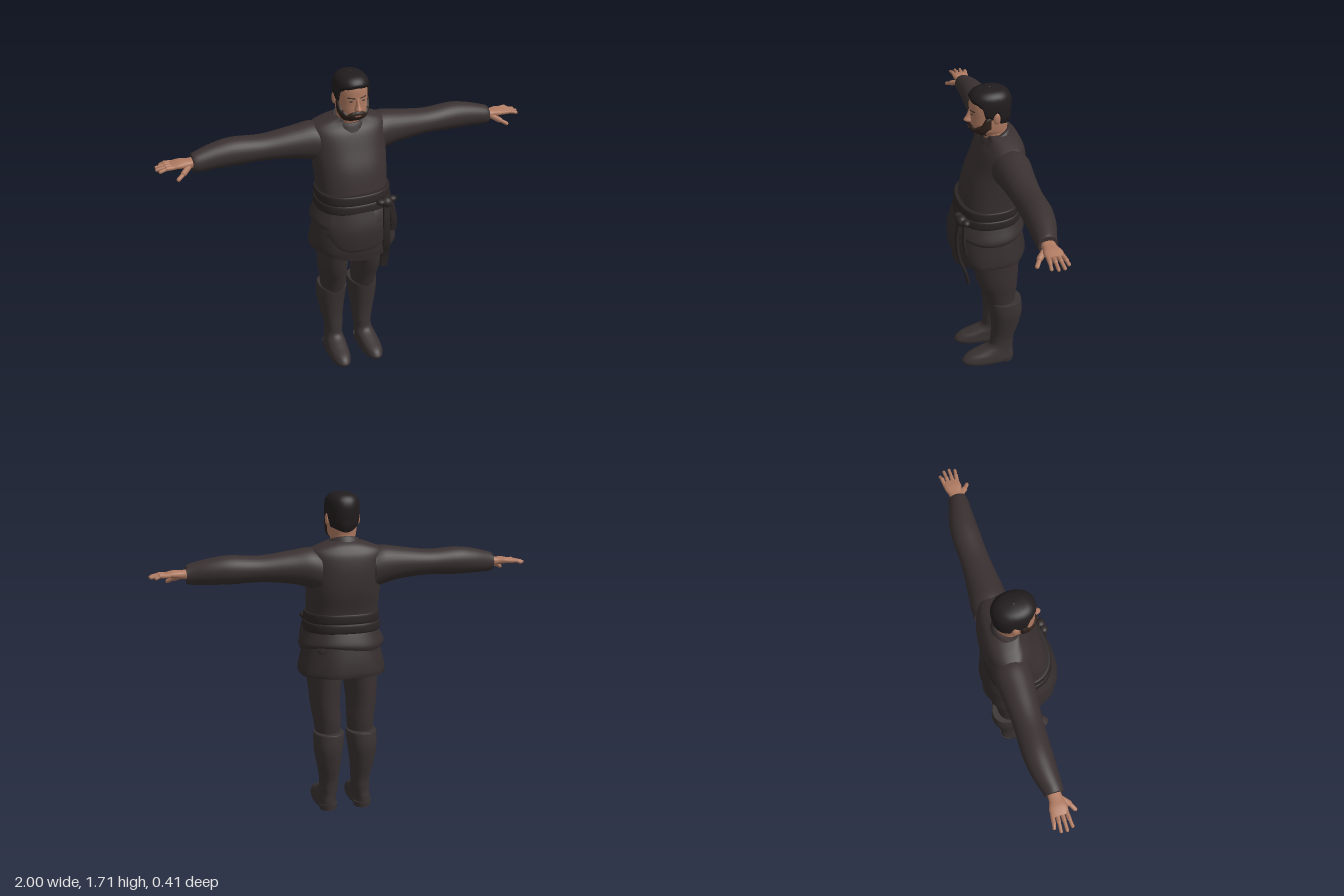
import * as THREE from 'three';

const mat = (name, color, side = THREE.FrontSide) =>
  Object.assign(new THREE.MeshStandardMaterial({ color, side }), { name });

// Catmull-Rom sample of table rows at v in 0..1
function sample(rows, v) {
  const f = Math.min(Math.max(v, 0), 1) * (rows.length - 1);
  const i = Math.min(Math.floor(f), rows.length - 2), t = f - i;
  const at = k => rows[Math.min(Math.max(k, 0), rows.length - 1)];
  return rows[0].map((_, c) => {
    const a = at(i - 1)[c], b = at(i)[c], d = at(i + 1)[c], e = at(i + 2)[c];
    return b + 0.5 * t * (d - a + t * (2 * a - 5 * b + 4 * d - e + t * (3 * (b - d) + e - a)));
  });
}

const pw = (s, n) => Math.sign(s) * Math.pow(Math.abs(s), 2 / n);

// Grid surface from fn(u, v) -> [x, y, z], optionally closed round u and capped
function surface(fn, nu, nv, closed = true, caps = false) {
  const pos = [], idx = [], w = closed ? nu : nu + 1;
  for (let j = 0; j <= nv; j++) for (let i = 0; i < w; i++) pos.push(...fn(i / nu, j / nv));
  for (let j = 0; j < nv; j++) for (let i = 0; i < nu; i++) {
    const k = (i + 1) % w, a = j * w + i, b = j * w + k;
    idx.push(a, b, b + w, a, b + w, a + w);
  }
  if (caps) for (const end of [0, 1]) {
    const base = pos.length / 3, mid = [0, 0, 0];
    for (let i = 0; i < nu; i++) {
      const p = fn(i / nu, end);
      pos.push(...p);
      p.forEach((c, k) => { mid[k] += c / nu; });
    }
    pos.push(...mid);
    for (let i = 0; i < nu; i++) {
      const a = base + i, b = base + (i + 1) % nu;
      idx.push(...(end ? [a, b, base + nu] : [b, a, base + nu]));
    }
  }
  const g = new THREE.BufferGeometry();
  g.setAttribute('position', new THREE.Float32BufferAttribute(pos, 3));
  g.setIndex(idx);
  g.computeVertexNormals();
  return g;
}

// Rows along y: [y, cx, cz, rx, rz]
function loftY(rows, { n = 2, caps = true, from = 0, to = 1, nu = 40, warp } = {}) {
  return surface((u, v) => {
    const [y, cx, cz, rx, rz] = sample(rows, v), t = (from + (to - from) * u) * Math.PI * 2;
    const p = [cx + rx * pw(Math.sin(t), n), y, cz + rz * pw(Math.cos(t), n)];
    return warp ? warp(p, t, v) : p;
  }, nu, (rows.length - 1) * 5, to - from === 1, caps);
}

// Rows along x: [x, cy, cz, ry, rz]
function loftX(rows, n = 2) {
  return surface((u, v) => {
    const [x, cy, cz, ry, rz] = sample(rows, v), t = u * Math.PI * 2;
    return [x, cy + ry * pw(Math.cos(t), n), cz + rz * pw(Math.sin(t), n)];
  }, 32, (rows.length - 1) * 5, true, true);
}

function mirrored(geo) {
  const g = geo.clone().scale(-1, 1, 1), ix = g.index.array;
  for (let i = 0; i < ix.length; i += 3) [ix[i], ix[i + 1]] = [ix[i + 1], ix[i]];
  g.computeVertexNormals();
  return g;
}

// Rounded rod between two points
function rod(a, b, r) {
  const A = new THREE.Vector3(...a), B = new THREE.Vector3(...b), d = B.clone().sub(A);
  const q = new THREE.Quaternion().setFromUnitVectors(new THREE.Vector3(0, 1, 0), d.clone().normalize());
  const m = A.add(B).multiplyScalar(0.5);
  return new THREE.CapsuleGeometry(r, d.length(), 5, 10).applyQuaternion(q).translate(m.x, m.y, m.z);
}

const blob = (x, y, z, rx, ry, rz) => new THREE.SphereGeometry(1, 18, 12).scale(rx, ry, rz).translate(x, y, z);

export function createModel() {
  const cloth = mat('dark cloth', 0x3a3131);
  const skirtCloth = mat('skirt cloth', 0x352d2d, THREE.DoubleSide);
  const leather = mat('belt leather', 0x2c2525);
  const bootLeather = mat('boot leather', 0x3a3232);
  const skin = mat('skin', 0xb07b62);
  const hairMat = mat('hair', 0x211c1d, THREE.DoubleSide);
  const beardMat = mat('beard', 0x2f221c, THREE.DoubleSide);
  const lipMat = mat('lips', 0x8d5a4b);
  const group = new THREE.Group();
  const add = (name, geo, m) => {
    const mesh = new THREE.Mesh(geo, m);
    mesh.name = name;
    group.add(mesh);
  };
  const pair = (name, geo, m) => {
    add(name + 'Left', geo, m);
    add(name + 'Right', mirrored(geo), m);
  };

  // Torso and collar
  add('tunic', loftY([
    [0.98, 0, 0, 0.185, 0.16], [1.09, 0, -0.008, 0.188, 0.153], [1.2, 0, -0.032, 0.193, 0.153],
    [1.3, 0, -0.055, 0.2, 0.135], [1.38, 0, -0.068, 0.207, 0.113], [1.42, 0, -0.073, 0.195, 0.092],
    [1.445, 0, -0.07, 0.14, 0.078], [1.463, 0, -0.058, 0.085, 0.066]], { n: 2.4, nu: 56 }), cloth);
  add('collar', loftY([
    [1.395, 0, -0.045, 0.112, 0.098], [1.425, 0, -0.045, 0.098, 0.084],
    [1.45, 0, -0.045, 0.086, 0.074], [1.462, 0, -0.045, 0.078, 0.066]],
  { warp: ([x, y, z]) => [x, y - (z + 0.045) * 0.4, z] }), cloth);

  // Sleeves and hands
  pair('sleeve', loftX([
    [0.14, 1.315, -0.075, 0.11, 0.1], [0.2, 1.332, -0.08, 0.102, 0.096], [0.3, 1.337, -0.08, 0.083, 0.085],
    [0.45, 1.335, -0.083, 0.067, 0.073], [0.6, 1.337, -0.087, 0.073, 0.072],
    [0.7, 1.332, -0.082, 0.066, 0.064], [0.79, 1.322, -0.07, 0.054, 0.051], [0.815, 1.32, -0.07, 0.046, 0.046]]), cloth);
  pair('palm', loftX([
    [0.79, 1.32, -0.07, 0.026, 0.034], [0.84, 1.322, -0.07, 0.021, 0.034],
    [0.88, 1.325, -0.072, 0.018, 0.044], [0.92, 1.322, -0.074, 0.012, 0.042]], 2.4), skin);
  [[-0.108, 0.965, -0.118], [-0.086, 0.988, -0.092], [-0.063, 0.991, -0.063], [-0.042, 0.98, -0.034]].forEach(([z, tip, tz], i) => {
    pair('fingerBase' + i, rod([0.9, 1.322, z], [0.945, 1.323, (z + tz) / 2], 0.0105), skin);
    pair('fingerTip' + i, rod([0.945, 1.323, (z + tz) / 2], [tip, 1.314, tz], 0.0085), skin);
  });
  pair('thumbBase', rod([0.835, 1.312, -0.05], [0.87, 1.295, -0.015], 0.015), skin);
  pair('thumbTip', rod([0.87, 1.295, -0.015], [0.902, 1.278, 0.006], 0.0105), skin);

  // Tiered skirt, lower hem dipping in front
  const folds = (t, v) => 1 + 0.018 * (1 - v) * Math.sin(7 * t);
  add('skirtLower', loftY([
    [0.755, 0, -0.002, 0.232, 0.192], [0.78, 0, 0, 0.233, 0.196], [0.85, 0, 0.004, 0.218, 0.19], [0.96, 0, 0.004, 0.19, 0.165]], {
    n: 2.3, caps: false, nu: 72,
    warp: ([x, y, z], t, v) => [x * folds(t, v), y - 0.04 * (1 - v) ** 3 * Math.max(0, Math.cos(t)) ** 4, z * folds(t, v)] }), skirtCloth);
  add('skirtUpper', loftY([
    [0.905, 0, 0.005, 0.222, 0.19], [0.925, 0, 0.005, 0.226, 0.194], [0.97, 0, 0.006, 0.205, 0.18], [1.01, 0, 0.004, 0.185, 0.162]], {
    n: 2.3, caps: false, from: 0.04, to: 0.9, nu: 72,
    warp: ([x, y, z], t, v) => [x, y + 0.012 * (1 - v) * Math.sin(3 * t), z] }), skirtCloth);
  add('frontPanel', loftY([
    [0.78, 0, 0.006, 0.222, 0.192], [0.8, 0, 0.006, 0.23, 0.202], [0.9, 0, 0.006, 0.222, 0.2], [1.01, 0, 0.004, 0.186, 0.165]], {
    n: 2.3, caps: false, from: -0.15, to: 0.08, nu: 30,
    warp: ([x, y, z], t, v) => [x, y + (1 - v) * 0.11 * Math.min(1, Math.abs((t + 0.1) / 0.75)) ** 3, z] }), skirtCloth);

  // Belt of two bands with knot and hanging straps
  for (const [i, y, r] of [[0, 1.062, 0.004], [1, 1.012, 0.008]]) {
    add('beltBand' + i, loftY([
      [y - 0.026, 0, 0.002, 0.188, 0.158], [y - 0.02, 0, 0.002, 0.194 + r, 0.164 + r],
      [y + 0.02, 0, 0, 0.194 + r, 0.162 + r], [y + 0.026, 0, 0, 0.188, 0.156]], { n: 2.4, nu: 56 }), leather);
  }
  add('beltKnot', blob(0.13, 1.03, 0.168, 0.032, 0.03, 0.03), leather);
  add('beltKnotLoopLeft', blob(0.168, 1.035, 0.152, 0.025, 0.018, 0.022), leather);
  add('beltKnotLoopRight', blob(0.095, 1.04, 0.176, 0.025, 0.016, 0.022), leather);
  add('longStrap', loftY([
    [0.62, 0.13, 0.138, 0.02, 0.007], [0.7, 0.132, 0.152, 0.024, 0.008], [0.8, 0.128, 0.184, 0.021, 0.009],
    [0.92, 0.122, 0.192, 0.019, 0.009], [1.02, 0.126, 0.178, 0.018, 0.01]], { n: 4 }), leather);
  add('shortStrap', loftY([
    [0.85, 0.176, 0.158, 0.016, 0.008], [0.93, 0.172, 0.166, 0.018, 0.008], [1.03, 0.155, 0.157, 0.016, 0.01]], { n: 4 }), leather);

  // Legs and boots
  pair('trouserLeg', loftY([
    [0.9, 0.1, -0.02, 0.09, 0.14], [0.75, 0.098, -0.022, 0.09, 0.13], [0.6, 0.1, -0.033, 0.08, 0.113],
    [0.5, 0.092, -0.05, 0.073, 0.092], [0.41, 0.09, -0.06, 0.066, 0.07]].reverse()), cloth);
  pair('boot', loftY([
    [0.012, 0.098, 0.018, 0.056, 0.146], [0.03, 0.098, 0.02, 0.06, 0.15], [0.06, 0.096, 0.005, 0.056, 0.135],
    [0.085, 0.092, -0.028, 0.052, 0.1], [0.115, 0.09, -0.06, 0.048, 0.07], [0.17, 0.088, -0.068, 0.051, 0.067],
    [0.25, 0.092, -0.08, 0.062, 0.076], [0.35, 0.094, -0.085, 0.077, 0.09], [0.425, 0.09, -0.079, 0.081, 0.093],
    [0.44, 0.09, -0.079, 0.078, 0.09]], { n: 2.2 }), bootLeather);
  pair('heel', new THREE.CylinderGeometry(0.05, 0.046, 0.03, 24).translate(0.096, 0.015, -0.083), bootLeather);

  // Head: surface point at angle t (0 = front), height y, lifted by off
  const head = [
    [1.4, 0, -0.05, 0.07, 0.064], [1.45, 0, -0.045, 0.064, 0.066], [1.47, 0, -0.026, 0.062, 0.08],
    [1.49, 0, -0.012, 0.07, 0.091], [1.52, 0, -0.01, 0.075, 0.097], [1.56, 0, -0.011, 0.078, 0.098],
    [1.6, 0, -0.012, 0.08, 0.101], [1.64, 0, -0.013, 0.079, 0.1], [1.67, 0, -0.013, 0.07, 0.087],
    [1.69, 0, -0.014, 0.044, 0.056], [1.698, 0, -0.014, 0.002, 0.002]];
  const onHead = (t, y, off) => {
    let lo = 0, hi = 1;
    for (let i = 0; i < 24; i++) {
      const m = (lo + hi) / 2;
      if (sample(head, m)[0] < y) lo = m; else hi = m;
    }
    const [, , cz, rx, rz] = sample(head, lo), k = rx < 0.01 ? 0 : off;
    return [(rx + k) * pw(Math.sin(t), 2.2), y + off * Math.max(0, (y - 1.6) / 0.1), cz + (rz + k) * pw(Math.cos(t), 2.2)];
  };
  const line = (pts, t) => {
    const i = Math.max(1, pts.findIndex(p => p[0] >= t)), [a, b] = [pts[i - 1], pts[i]];
    return THREE.MathUtils.lerp(a[1], b[1], THREE.MathUtils.smoothstep(t, a[0], b[0]));
  };
  const hairline = [[0, 1.647], [0.7, 1.64], [1.05, 1.625], [1.3, 1.56], [1.55, 1.56], [1.75, 1.59], [2.0, 1.53], [3.2, 1.505]];
  const beardTop = [[0, 1.53], [0.3, 1.524], [0.6, 1.512], [1.0, 1.53], [1.3, 1.575], [1.6, 1.575]];
  const beardLow = [[0, 1.452], [0.8, 1.46], [1.6, 1.51]];
  add('head', loftY(head, { n: 2.2, nu: 48 }), skin);
  add('hair', surface((u, v) => {
    const t = u * Math.PI * 2, low = line(hairline, Math.min(t, Math.PI * 2 - t));
    const s = 1 - (1 - v) ** 1.6;
    return onHead(t, low + (1.698 - low) * s, 0.009 * Math.min(1, v * 8));
  }, 96, 30), hairMat);
  add('beard', surface((u, v) => {
    const t = (u * 2 - 1) * 1.52, a = Math.abs(t), low = line(beardLow, a), edge = Math.min(v, 1 - v, (1 - Math.abs(u * 2 - 1)) * 2);
    return onHead(t, low + (line(beardTop, a) - low) * v, 0.011 * Math.min(1, 0.1 + edge * 6));
  }, 64, 16, false), beardMat);
  pair('ear', blob(0.084, 1.568, -0.03, 0.009, 0.03, 0.018), skin);
  add('nose', loftY([
    [1.529, 0, 0.085, 0.013, 0.016], [1.54, 0, 0.09, 0.018, 0.029], [1.562, 0, 0.085, 0.011, 0.021],
    [1.598, 0, 0.082, 0.008, 0.009]], { nu: 20 }), skin);
  add('lips', blob(0, 1.504, 0.093, 0.02, 0.006, 0.004), lipMat);
  pair('eye', blob(0.03, 1.581, 0.081, 0.011, 0.004, 0.004), hairMat);
  pair('brow', rod([0.016, 1.597, 0.086], [0.045, 1.6, 0.074], 0.004), beardMat);
  return group;
}
